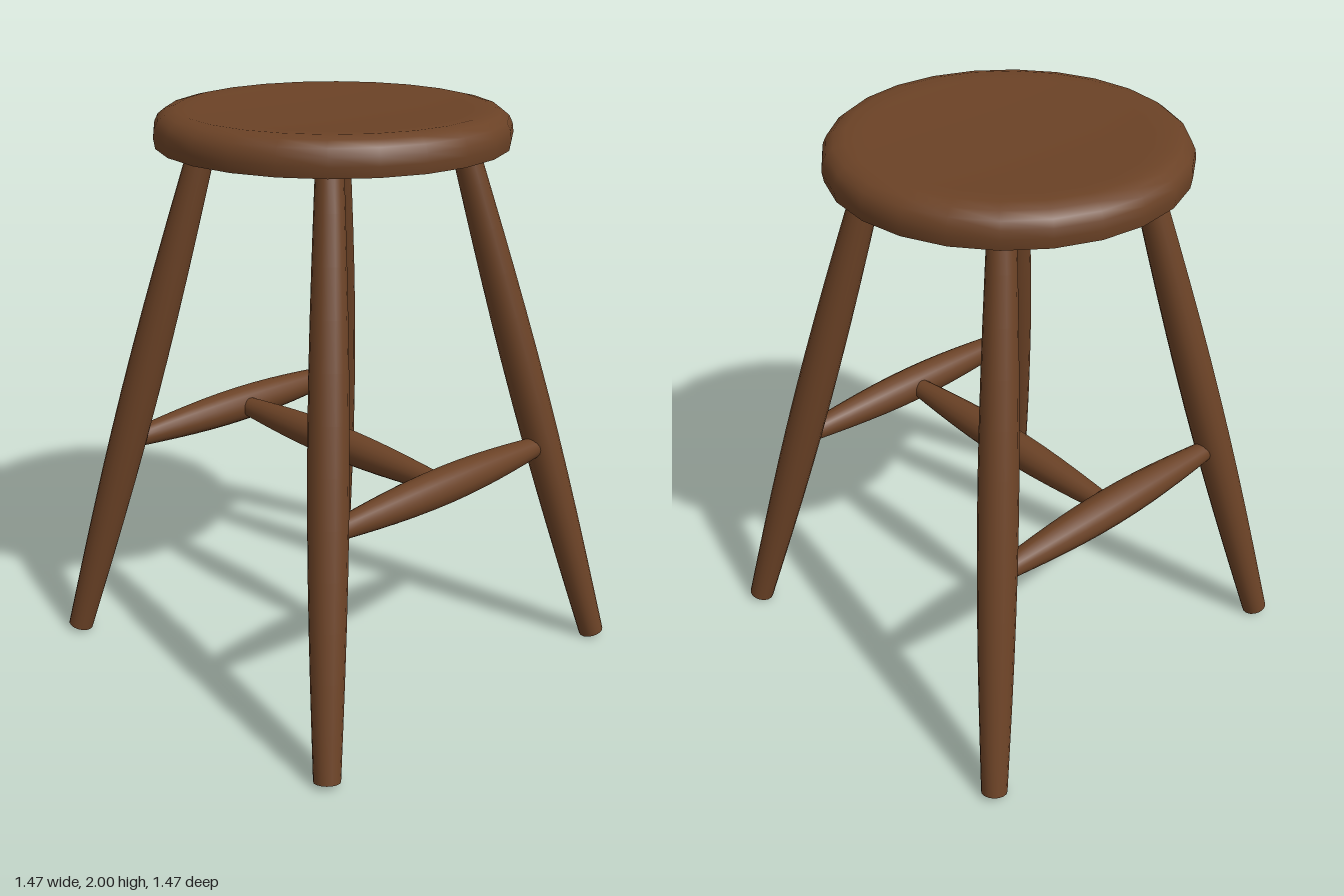
import * as THREE from 'three';
import { toCreasedNormals } from 'three/addons/utils/BufferGeometryUtils.js';

const wood = new THREE.MeshStandardMaterial({ color: 0x6b4226 });
wood.name = 'brown wood';

function lathe(name, points, sides) {
  const geometry = new THREE.LatheGeometry(points.map(([r, y]) => new THREE.Vector2(r, y)), sides);
  const mesh = new THREE.Mesh(toCreasedNormals(geometry, 0.8), wood);
  mesh.name = name;
  return mesh;
}

// Turned rod between two points, thin at the ends and swelling in the middle
function spindle(name, from, to, endRadius, midRadius) {
  const axis = to.clone().sub(from);
  const length = axis.length();
  const steps = 12;
  const points = [[0, -length / 2]];
  for (let i = 0; i <= steps; i++) {
    const t = i / steps;
    const r = endRadius + (midRadius - endRadius) * Math.sin(Math.PI * t);
    points.push([r, (t - 0.5) * length]);
  }
  points.push([0, length / 2]);
  const mesh = lathe(name, points, 16);
  mesh.position.copy(from).add(to).multiplyScalar(0.5);
  mesh.quaternion.setFromUnitVectors(new THREE.Vector3(0, 1, 0), axis.normalize());
  return mesh;
}

export function createModel() {
  const group = new THREE.Group();
  group.name = 'stool';
  const v = (x, y, z) => new THREE.Vector3(x, y, z);

  // Round seat with a softened rim and a very shallow dish
  const seat = lathe('seat', [
    [0, 1.88], [0.6, 1.88], [0.606, 1.915], [0.602, 1.945], [0.59, 1.97],
    [0.565, 1.99], [0.525, 2], [0.46, 1.996], [0.3, 1.988], [0, 1.985],
  ], 24);
  seat.position.set(-0.008, 0, -0.005);
  group.add(seat);

  // Four splayed legs
  for (const [zName, sz] of [['front', 1], ['back', -1]]) {
    for (const [xName, sx] of [['Left', 1], ['Right', -1]]) {
      group.add(spindle(zName + xName + 'Leg',
        v(sx * 0.69 - 0.004, 0.0125, sz * 0.69),
        v(sx * 0.305 - 0.008, 1.9, sz * 0.305 - 0.003), 0.045, 0.067));
    }
    // Stretcher joining this pair of legs
    group.add(spindle(zName + 'Stretcher',
      v(-0.5, 0.78, sz * 0.532), v(0.5, 0.78, sz * 0.532), 0.035, 0.065));
  }

  // Cross stretcher between the front and back stretchers
  group.add(spindle('crossStretcher', v(0, 0.78, -0.5), v(0, 0.78, 0.5), 0.035, 0.062));
  return group;
}
